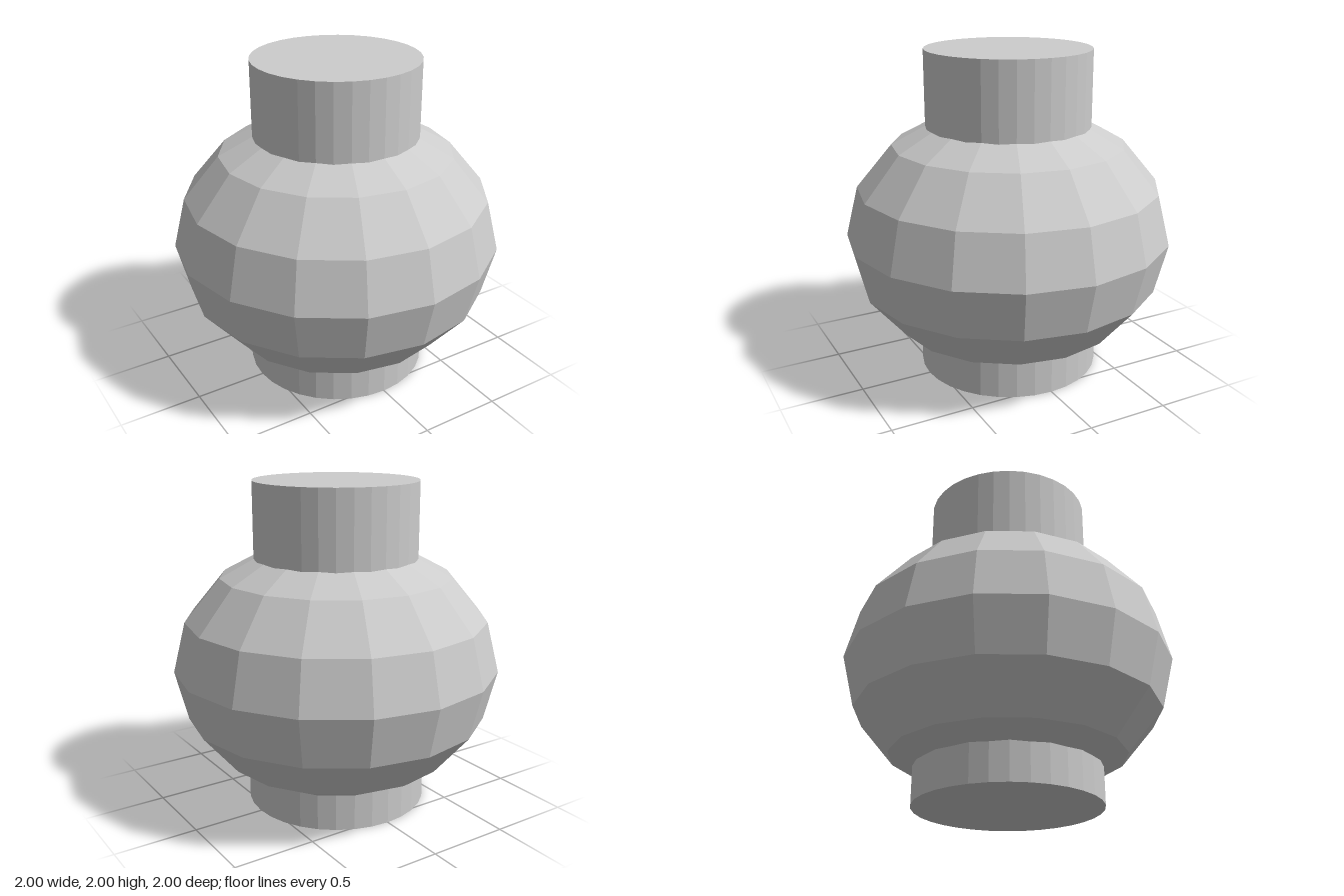
import * as THREE from 'three';

export function createModel() {
  const group = new THREE.Group();
  const grey = new THREE.MeshStandardMaterial({ color: 0xcccccc });
  grey.name = 'light grey';
  grey.flatShading = true;

  const add = (name, geometry, y) => {
    const mesh = new THREE.Mesh(geometry, grey);
    mesh.name = name;
    mesh.position.y = y;
    group.add(mesh);
  };
  // Upright cylinder between two heights
  const drum = (name, radius, y0, y1) =>
    add(name, new THREE.CylinderGeometry(radius, radius, y1 - y0, 32), (y0 + y1) / 2);

  // Squashed faceted bowl, with the neck and foot sunk into it
  add('body', new THREE.SphereGeometry(1, 16, 8).scale(1, 0.8, 1), 0.865);
  drum('neck', 0.5, 1.4, 2);
  drum('foot', 0.56, 0, 0.32);

  return group;
}
